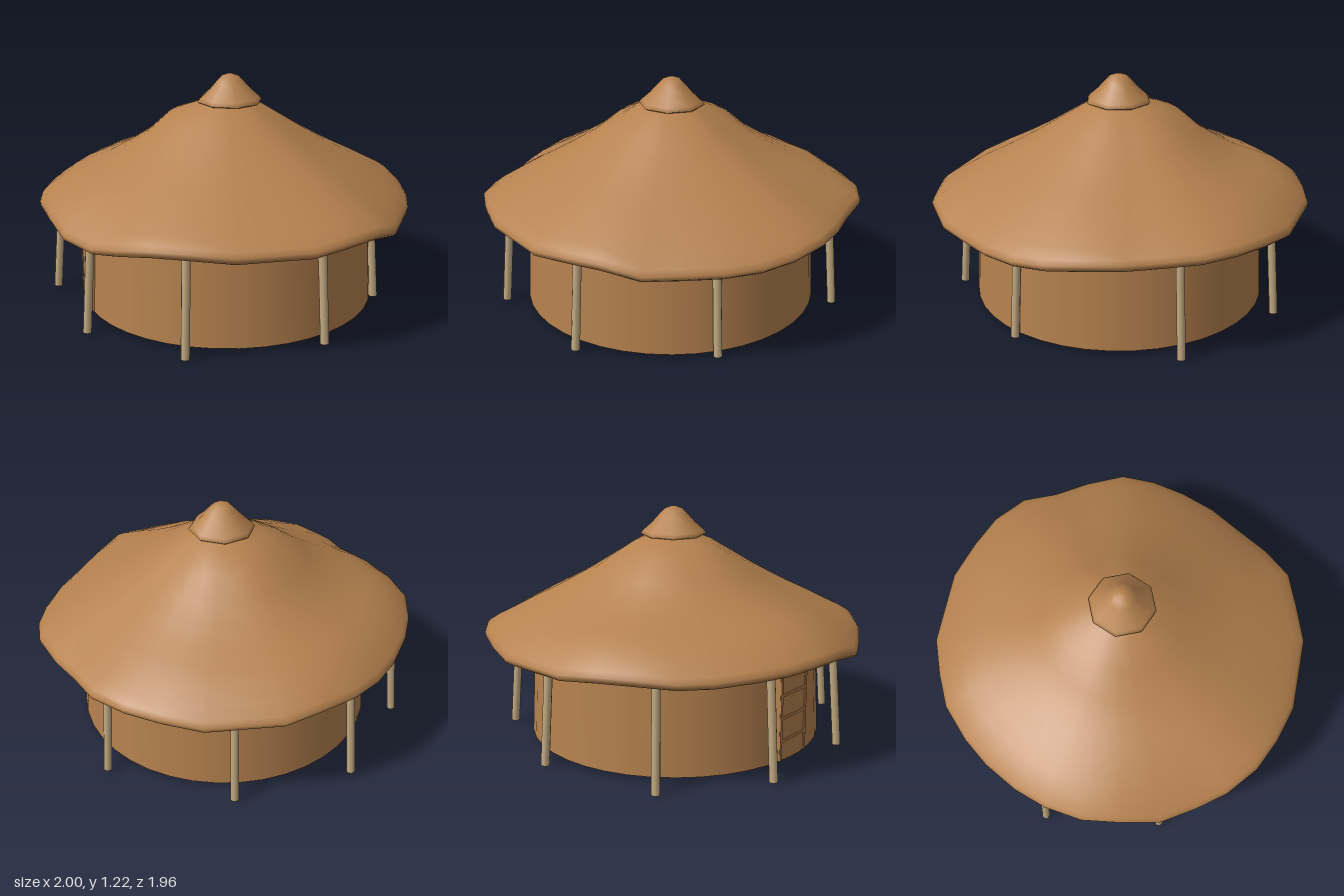
import * as THREE from 'three';

const thatch = new THREE.MeshStandardMaterial({ color: 0xb5814e });
thatch.name = 'thatch brown';
const clay = new THREE.MeshStandardMaterial({ color: 0xb5814e, side: THREE.DoubleSide });
clay.name = 'clay brown';
const wood = new THREE.MeshStandardMaterial({ color: 0xc0a880 });
wood.name = 'pale wood';

function add(parent, name, geometry, material) {
  const mesh = new THREE.Mesh(geometry, material);
  mesh.name = name;
  parent.add(mesh);
  return mesh;
}

// Eave outline: x, z and height of the lower rim
const EAVE = [
  [-0.19, -0.98, 0.53], [0.2, -0.98, 0.525], [0.4, -0.91, 0.54], [0.57, -0.83, 0.555],
  [0.72, -0.7, 0.555], [0.8, -0.53, 0.54], [0.9, -0.37, 0.54], [0.985, -0.18, 0.545],
  [0.995, 0, 0.52], [0.965, 0.18, 0.5], [0.9, 0.36, 0.495], [0.8, 0.53, 0.495],
  [0.7, 0.7, 0.5], [0.56, 0.84, 0.55], [0.39, 0.91, 0.54], [0.2, 0.98, 0.53],
  [-0.19, 0.98, 0.535], [-0.39, 0.92, 0.55], [-0.56, 0.84, 0.55], [-0.71, 0.71, 0.52],
  [-0.81, 0.57, 0.485], [-0.92, 0.4, 0.5], [-0.97, 0.2, 0.54], [-1, 0, 0.555],
  [-0.97, -0.2, 0.545], [-0.91, -0.37, 0.54], [-0.81, -0.55, 0.53], [-0.7, -0.69, 0.53],
  [-0.55, -0.83, 0.55], [-0.38, -0.91, 0.545],
];

// Shell section from the crown over the eave and back underneath: radius share, height
const SECTION = [
  [0.1, 1.085], [0.2, 1.045], [0.32, 0.97], [0.43, 0.9], [0.55, 0.83], [0.65, 0.775],
  [0.75, 0.722], [0.85, 0.662], [0.93, 0.615], [0.98, 0.578], [1, 0.555], [0.997, 0.535],
  [0.98, 0.52], [0.955, 0.525], [0.9, 0.575], [0.75, 0.675], [0.55, 0.785], [0.32, 0.92], [0.1, 1.03],
];

function roofGeometry() {
  const pos = [], idx = [], n = EAVE.length, m = SECTION.length;
  for (const [x, z, rim] of EAVE) {
    const side = Math.max(0, -(x + z) / (Math.SQRT2 * Math.hypot(x, z)));
    const swell = Math.min(1, side * 1.4);
    for (const [t, h] of SECTION) {
      // the thatch bulges on one side and sags with the wavy rim
      const bulge = 0.035 * Math.exp(-(((t - 0.32) / 0.08) ** 2)) + 0.025 * Math.exp(-(((t - 0.84) / 0.1) ** 2));
      pos.push(x * t, h + swell * bulge + (rim - 0.52) * t ** 4, z * t);
    }
  }
  for (let i = 0; i < n; i++) {
    for (let j = 0; j < m - 1; j++) {
      const a = i * m + j, b = ((i + 1) % n) * m + j;
      idx.push(a, b, a + 1, b, b + 1, a + 1);
    }
  }
  const g = new THREE.BufferGeometry();
  g.setAttribute('position', new THREE.Float32BufferAttribute(pos, 3));
  g.setIndex(idx);
  g.computeVertexNormals();
  return g;
}

const lathe = (points, sides) => new THREE.LatheGeometry(points.map(([r, y]) => new THREE.Vector2(r, y)), sides);

// Arched door leaf with stiles and cross boards
function buildDoor() {
  const door = new THREE.Group();
  door.name = 'door';
  const arch = (half, height, depth) => {
    const s = new THREE.Shape();
    s.moveTo(-half, 0.025);
    s.lineTo(half, 0.025);
    s.lineTo(half, height - 0.035);
    s.quadraticCurveTo(0, height + 0.03, -half, height - 0.035);
    s.closePath();
    return new THREE.ExtrudeGeometry(s, { depth, bevelEnabled: false, curveSegments: 8 })
      .translate(0, 0, -depth / 2).rotateY(Math.PI / 2);
  };
  add(door, 'doorLeaf', arch(0.115, 0.51, 0.05), clay).position.x = -0.755;
  for (const s of [-1, 1]) {
    add(door, 'doorStile', new THREE.BoxGeometry(0.06, 0.45, 0.016), clay).position.set(-0.755, 0.25, s * 0.106);
  }
  for (const y of [0.13, 0.25, 0.37]) {
    add(door, 'doorBoard', new THREE.BoxGeometry(0.06, 0.014, 0.21), clay).position.set(-0.755, y, 0);
  }
  door.rotation.y = 0.085;
  return door;
}

export function createModel() {
  const hut = new THREE.Group();
  hut.name = 'roundHut';

  add(hut, 'roof', roofGeometry(), thatch);

  // Small thatch cap on the crown
  const cap = add(hut, 'roofCap', lathe([
    [0.1, 1.07], [0.165, 1.07], [0.174, 1.078], [0.16, 1.095], [0.115, 1.135], [0.075, 1.18], [0.045, 1.21], [0.015, 1.22], [0, 1.22],
  ], 8), clay);
  cap.position.set(0.012, 0, 0.01);

  // Hollow wall, slightly tapered; flat rings close both edges
  const wall = new THREE.Group();
  wall.name = 'wall';
  add(wall, 'wallOuter', lathe([[0.78, 0.02], [0.75, 0.62]], 40), clay);
  add(wall, 'wallInner', lathe([[0.72, 0.62], [0.75, 0.02]], 40), clay);
  add(wall, 'wallTopEdge', lathe([[0.75, 0.62], [0.72, 0.62]], 40), clay);
  add(wall, 'wallBottomEdge', lathe([[0.75, 0.02], [0.78, 0.02]], 40), clay);
  wall.position.z = 0.01;
  hut.add(wall);

  hut.add(buildDoor());

  // Leaning posts under the eave: foot x, z and height of the foot
  const feet = [
    [0.3, 0.82, 0.02], [0.755, 0.28, 0.005], [0.67, -0.58, 0.01], [0.04, -0.88, 0.015],
    [-0.585, -0.72, 0], [-0.91, -0.24, 0.015], [-0.82, 0.39, 0.005], [-0.4, 0.82, 0.015],
  ];
  for (const [x, z, y] of feet) {
    const foot = new THREE.Vector3(x, y, z);
    const top = new THREE.Vector3(x * 0.95, 0.585, z * 0.95);
    const along = top.clone().sub(foot);
    const post = add(hut, 'post', new THREE.CylinderGeometry(0.022, 0.022, along.length(), 10), wood);
    post.position.copy(foot).lerp(top, 0.5);
    post.quaternion.setFromUnitVectors(new THREE.Vector3(0, 1, 0), along.normalize());
  }
  return hut;
}
